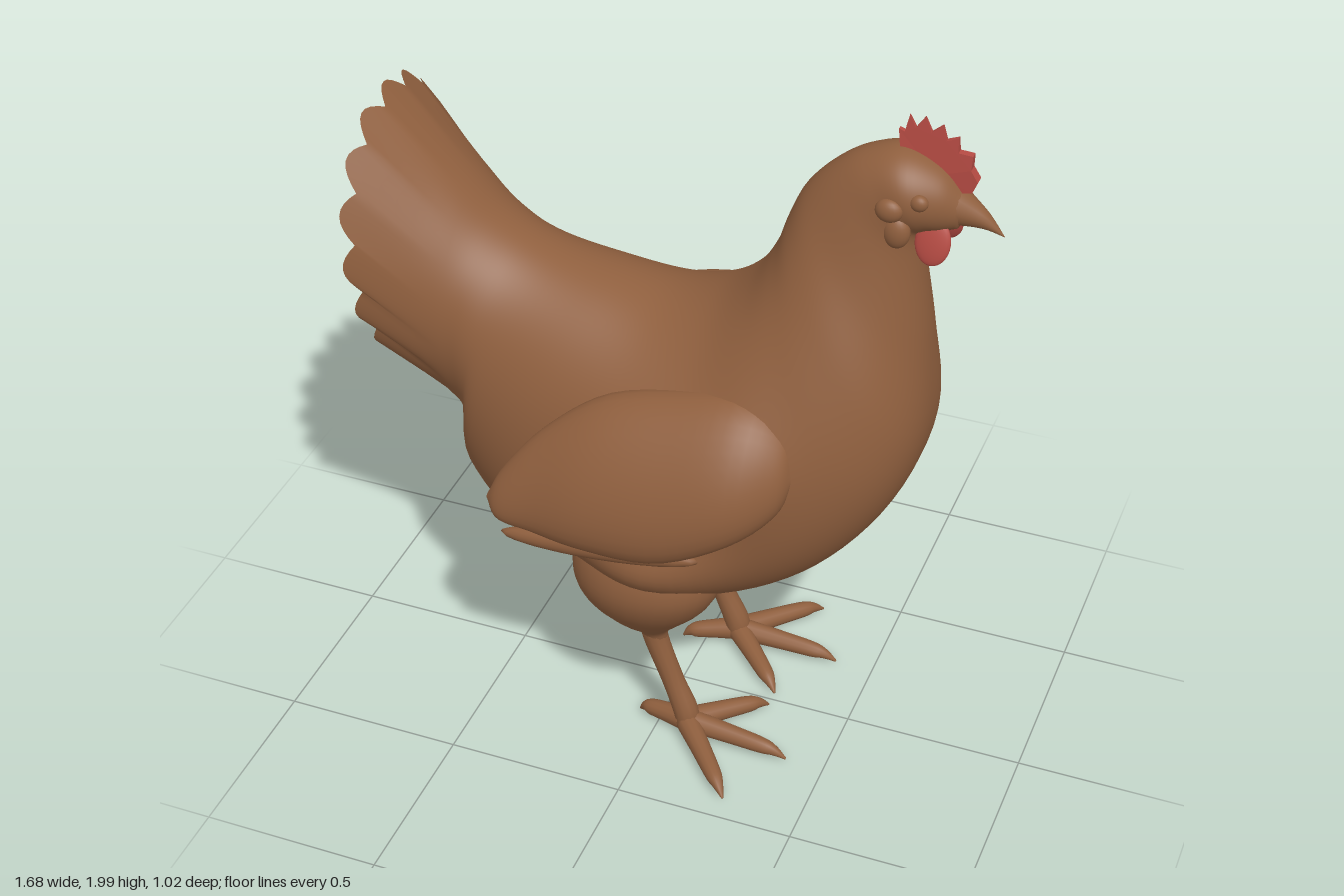
import * as THREE from 'three';

const V = (x, y, z) => new THREE.Vector3(x, y, z);
const brown = new THREE.MeshStandardMaterial({ color: 0x8f5f3e, side: THREE.DoubleSide });
brown.name = 'brown feather';
const red = new THREE.MeshStandardMaterial({ color: 0xb54b43 });
red.name = 'comb red';

// Smooth closed skin over rings of equal point count; faces are turned outward by signed volume
function skin(rings) {
  const n = rings[0].length, pos = [], idx = [];
  rings.forEach(r => r.forEach(p => pos.push(p.x, p.y, p.z)));
  for (let i = 0; i < rings.length - 1; i++) {
    for (let j = 0; j < n; j++) {
      const a = i * n + j, b = i * n + (j + 1) % n;
      idx.push(a, b, a + n, b, b + n, a + n);
    }
  }
  const flat = rings.flat();
  let volume = 0;
  for (let i = 0; i < idx.length; i += 3) {
    volume += flat[idx[i]].dot(flat[idx[i + 1]].clone().cross(flat[idx[i + 2]]));
  }
  if (volume < 0) idx.reverse();
  const g = new THREE.BufferGeometry();
  g.setAttribute('position', new THREE.Float32BufferAttribute(pos, 3));
  g.setIndex(idx);
  g.computeVertexNormals();
  return g;
}

function ring(n, fn) {
  return Array.from({ length: n }, (_, j) => fn(j / n * Math.PI * 2));
}

// Resample rows of numbers smoothly
function smooth(rows, steps) {
  const curves = rows[0].map((_, c) =>
    new THREE.CatmullRomCurve3(rows.map(r => V(r[c], 0, 0)), false, 'catmullrom', 0.5));
  return Array.from({ length: steps + 1 }, (_, i) => curves.map(c => c.getPoint(i / steps).x));
}

// Round tapering limb through points [x, y, z, radius]
function limb(points) {
  const rows = smooth(points, points.length * 4);
  const at = r => V(r[0], r[1], r[2]);
  const rings = rows.map((r, i) => {
    const dir = at(rows[Math.min(i + 1, rows.length - 1)]).sub(at(rows[Math.max(i - 1, 0)])).normalize();
    const q = new THREE.Quaternion().setFromUnitVectors(V(0, 1, 0), dir);
    return ring(12, a => V(Math.cos(a) * r[3], 0, Math.sin(a) * r[3]).applyQuaternion(q).add(at(r)));
  });
  const cap = r => ring(12, () => at(r));
  return skin([cap(rows[0]), ...rings, cap(rows[rows.length - 1])]);
}

// Soft swelling of the flank around a point
const swell = (x, y, cx, cy, rx, ry) => Math.exp(-(((x - cx) / rx) ** 2) - ((y - cy) / ry) ** 2);

// Body, neck, head and tail: top x, y, bottom x, y, half width, height skew
function bodyGeometry() {
  const rows = smooth([
    [-0.815, 1.78, -0.75, 1.04, 0.31, 1],
    [-0.61, 1.56, -0.62, 0.90, 0.25, 1],
    [-0.50, 1.46, -0.57, 0.83, 0.25, 1],
    [-0.38, 1.405, -0.58, 0.68, 0.275, 1],
    [-0.21, 1.37, -0.40, 0.51, 0.325, 1],
    [-0.04, 1.35, -0.09, 0.485, 0.355, 1],
    [0.10, 1.39, 0.18, 0.495, 0.365, 1.1],
    [0.20, 1.47, 0.42, 0.635, 0.36, 1.25],
    [0.26, 1.57, 0.60, 0.85, 0.305, 1.35],
    [0.29, 1.66, 0.685, 1.08, 0.24, 1.3],
    [0.33, 1.75, 0.675, 1.35, 0.165, 1.1],
    [0.40, 1.83, 0.645, 1.57, 0.125, 1],
    [0.48, 1.885, 0.635, 1.67, 0.112, 1],
    [0.58, 1.91, 0.655, 1.695, 0.11, 1],
    [0.68, 1.87, 0.69, 1.70, 0.08, 1],
    [0.74, 1.805, 0.725, 1.71, 0.045, 1],
  ], 90);
  const rings = rows.map(([tx, ty, bx, by, w, k], i) => {
    const fade = Math.max(0, 1 - i / 6);
    return ring(128, a => {
      const u = Math.pow((1 + Math.cos(a)) / 2, k);
      // Scalloped feather tips fading into the back
      const f = (Math.abs(Math.cos(a * 8)) - 0.4) * fade;
      const x = bx + (tx - bx) * u, y = by + (ty - by) * u;
      // Flank swells over the thighs and under the wings
      const bulge = 0.14 * swell(x, y, 0, 0.67, 0.23, 0.15) + 0.04 * swell(x, y, 0.12, 1.08, 0.24, 0.14);
      return V(x - 0.035 * f - 0.02 * Math.abs(Math.sin(a)) * fade, y + 0.03 * f * Math.cos(a),
        (w + bulge) * Math.sin(a) * (1 + 0.05 * f));
    });
  });
  // Hollow behind the tail fan
  const rim = rings[0];
  const inner = rim.map(p => V(-0.67, 1.25 + (p.y - 1.36) * 0.6, p.z * 0.65));
  const hub = rim.map(() => V(-0.60, 1.22, 0));
  const nose = rim.map(() => V(0.75, 1.755, 0));
  return skin([hub, inner, rim, rim.map(p => p.clone()), ...rings.slice(1), nose]);
}

// Folded wing: x, centre y, half height, centre z, half depth
function wingGeometry(s) {
  const rows = smooth([
    [0.425, 1.08, 0.005, 0.32, 0.005],
    [0.39, 1.085, 0.11, 0.315, 0.07],
    [0.28, 1.07, 0.185, 0.34, 0.115],
    [0.10, 1.02, 0.215, 0.36, 0.125],
    [-0.10, 0.99, 0.195, 0.375, 0.11],
    [-0.25, 0.945, 0.135, 0.40, 0.065],
    [-0.35, 0.89, 0.07, 0.42, 0.035],
    [-0.39, 0.87, 0.005, 0.425, 0.004],
  ], 32);
  return skin(rows.map(([x, y, h, z, d]) => ring(32, a =>
    V(x, y + h * Math.cos(a), s * (z + d * Math.sin(a) - 0.35 * h * Math.cos(a))))));
}

// Lower thigh, running up inside the flank: y, centre x, centre z, half length, half width
function thighGeometry(s) {
  const rows = smooth([
    [0.33, 0.00, 0.205, 0.03, 0.03],
    [0.37, -0.01, 0.21, 0.05, 0.045],
    [0.44, -0.015, 0.235, 0.11, 0.09],
    [0.53, -0.01, 0.262, 0.18, 0.13],
    [0.62, 0.00, 0.27, 0.21, 0.145],
    [0.72, 0.00, 0.25, 0.20, 0.135],
    [0.82, 0.00, 0.22, 0.12, 0.08],
  ], 24);
  return skin(rows.map(([y, x, z, l, w]) => ring(32, a =>
    V(x + l * Math.cos(a), y, s * (z + w * Math.sin(a))))));
}

// Serrated comb, thick at the root and thin at the points
function combGeometry() {
  const pts = [[0.57, 1.88], [0.56, 1.955], [0.575, 1.95], [0.585, 1.998], [0.602, 1.965], [0.625, 2.0],
    [0.642, 1.96], [0.67, 1.985], [0.68, 1.945], [0.71, 1.958], [0.713, 1.92], [0.75, 1.918],
    [0.748, 1.88], [0.767, 1.85], [0.755, 1.82], [0.715, 1.81], [0.66, 1.85]];
  const shape = new THREE.Shape(pts.map(p => new THREE.Vector2(p[0], p[1])));
  const g = new THREE.ExtrudeGeometry(shape, { depth: 0.03, bevelEnabled: false });
  g.translate(0, 0, -0.015);
  const p = g.attributes.position;
  for (let i = 0; i < p.count; i++) {
    p.setZ(i, p.getZ(i) * Math.min(1, 0.1 + (2 - p.getY(i)) * 7));
  }
  g.computeVertexNormals();
  return g;
}

export function createModel() {
  const hen = new THREE.Group();
  hen.name = 'hen';
  const add = (name, geometry, material = brown) => {
    const m = new THREE.Mesh(geometry, material);
    m.name = name;
    hen.add(m);
    return m;
  };
  const blob = (name, p, r, material) => {
    const m = add(name, new THREE.SphereGeometry(1, 20, 14), material);
    m.position.set(...p);
    m.scale.set(...r);
    return m;
  };

  add('body', bodyGeometry());
  add('comb', combGeometry(), red);

  // Hooked beak: x, centre y, half height, half width
  const beak = smooth([[0.66, 1.785, 0.07, 0.082], [0.71, 1.775, 0.056, 0.058],
    [0.76, 1.757, 0.036, 0.034], [0.80, 1.737, 0.02, 0.018], [0.84, 1.705, 0.001, 0.001]], 16);
  add('beak', skin([ring(16, () => V(0.66, 1.785, 0)), ...beak.map(([x, y, h, w]) =>
    ring(16, a => V(x, y + h * Math.cos(a), w * Math.sin(a))))]));

  for (const s of [1, -1]) {
    const side = s > 0 ? 'left' : 'right';
    add(side + 'Wing', wingGeometry(s));
    const feather = blob(side + 'LowerWingFeather', [-0.065, 0.81, s * 0.45], [0.28, 0.036, 0.032]);
    feather.rotation.z = 0.1;

    // Face
    blob(side + 'Eye', [0.645, 1.812, s * 0.094], [0.024, 0.022, 0.018]);
    blob(side + 'EarTuft', [0.575, 1.785, s * 0.108], [0.036, 0.032, 0.024]);
    blob(side + 'EarLobe', [0.592, 1.72, s * 0.094], [0.036, 0.046, 0.026]);
    const wattle = blob(side + 'Wattle', [0.675, 1.685, s * 0.055], [0.046, 0.062, 0.013], red);
    wattle.rotation.x = -s * 0.25;

    // Legs and feet
    add(side + 'Thigh', thighGeometry(s));
    add(side + 'Shank', limb([[-0.015, 0.40, s * 0.207, 0.04], [0.0, 0.32, s * 0.207, 0.034],
      [0.045, 0.19, s * 0.205, 0.031], [0.085, 0.09, s * 0.208, 0.036], [0.095, 0.04, s * 0.21, 0.034]]));
    const toes = { Middle: [0.39, 0.22], Inner: [0.27, 0.025], Outer: [0.28, 0.43], Rear: [-0.065, 0.17] };
    for (const [name, [x, z]] of Object.entries(toes)) {
      const at = (t, y, r) => [0.09 + (x - 0.09) * t, y, s * (0.21 + (z - 0.21) * t), r];
      add(side + name + 'Toe', limb([at(0, 0.05, 0.034),
        at(0.4, 0.042, 0.028), at(0.75, 0.033, 0.023), at(0.88, 0.026, 0.015), at(1, 0.008, 0.003)]));
    }
  }
  return hen;
}
